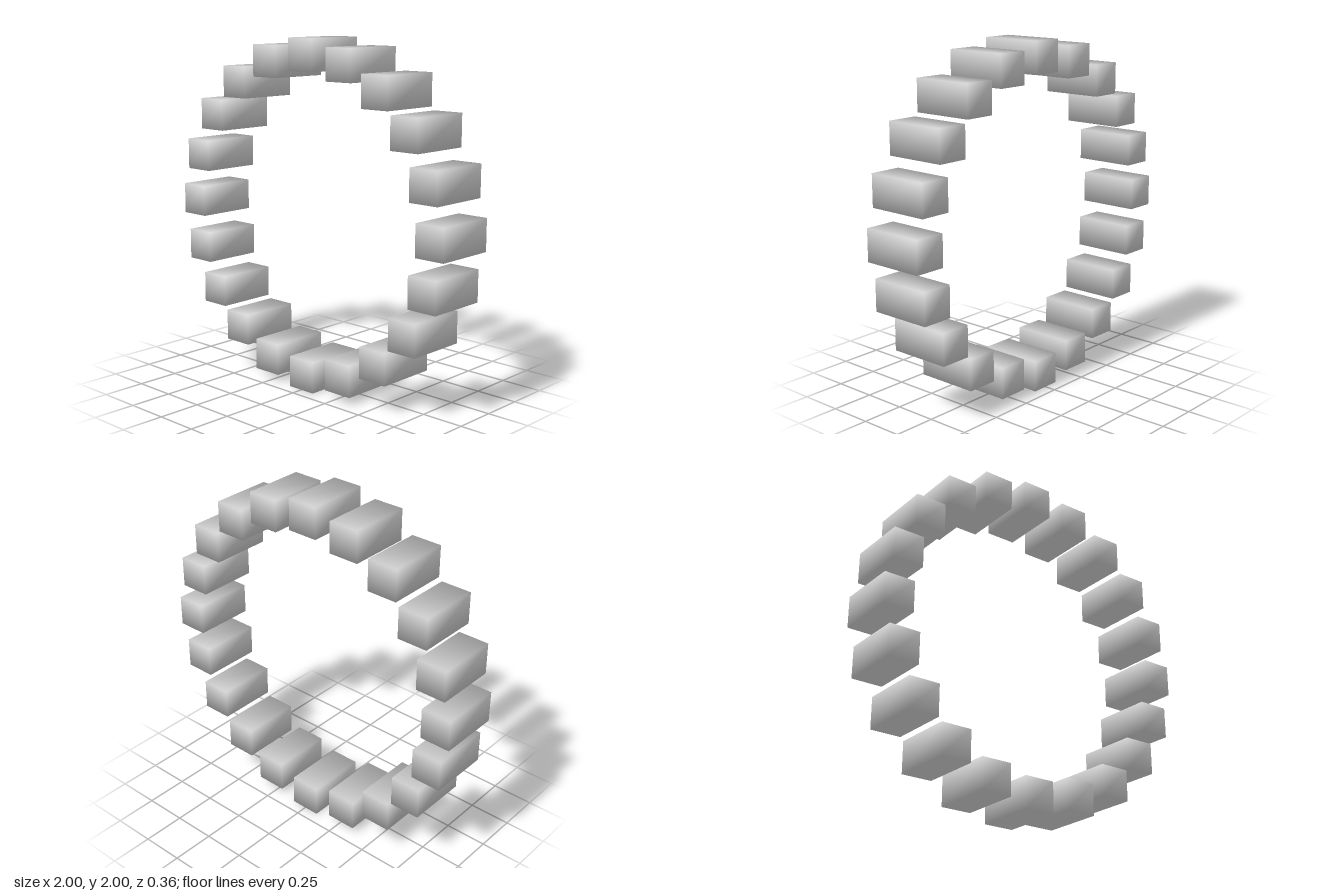
import * as THREE from 'three';

const COUNT = 20;
const RADIUS = 0.909; // ring radius to block centres
const SIZE = 0.182; // block width and height
const DEPTH = 0.364;

// Box whose corner normals point out along the diagonals, for soft shading
function softBox(w, h, d) {
  const geometry = new THREE.BoxGeometry(w, h, d);
  const { position, normal } = geometry.attributes;
  const n = new THREE.Vector3();
  for (let i = 0; i < position.count; i++) {
    n.fromBufferAttribute(position, i);
    n.set(Math.sign(n.x), Math.sign(n.y), Math.sign(n.z)).normalize();
    normal.setXYZ(i, n.x, n.y, n.z);
  }
  return geometry;
}

export function createModel() {
  const ring = new THREE.Group();
  ring.name = 'blockRing';
  const geometry = softBox(SIZE, SIZE, DEPTH);
  const material = new THREE.MeshStandardMaterial({ color: 0xcccccc });

  // Upright blocks spaced evenly around a vertical circle
  for (let i = 0; i < COUNT; i++) {
    const angle = (i / COUNT) * Math.PI * 2;
    const block = new THREE.Mesh(geometry, material);
    block.name = `block${i + 1}`;
    block.position.set(RADIUS * Math.cos(angle), 1 + RADIUS * Math.sin(angle), 0);
    ring.add(block);
  }
  return ring;
}
